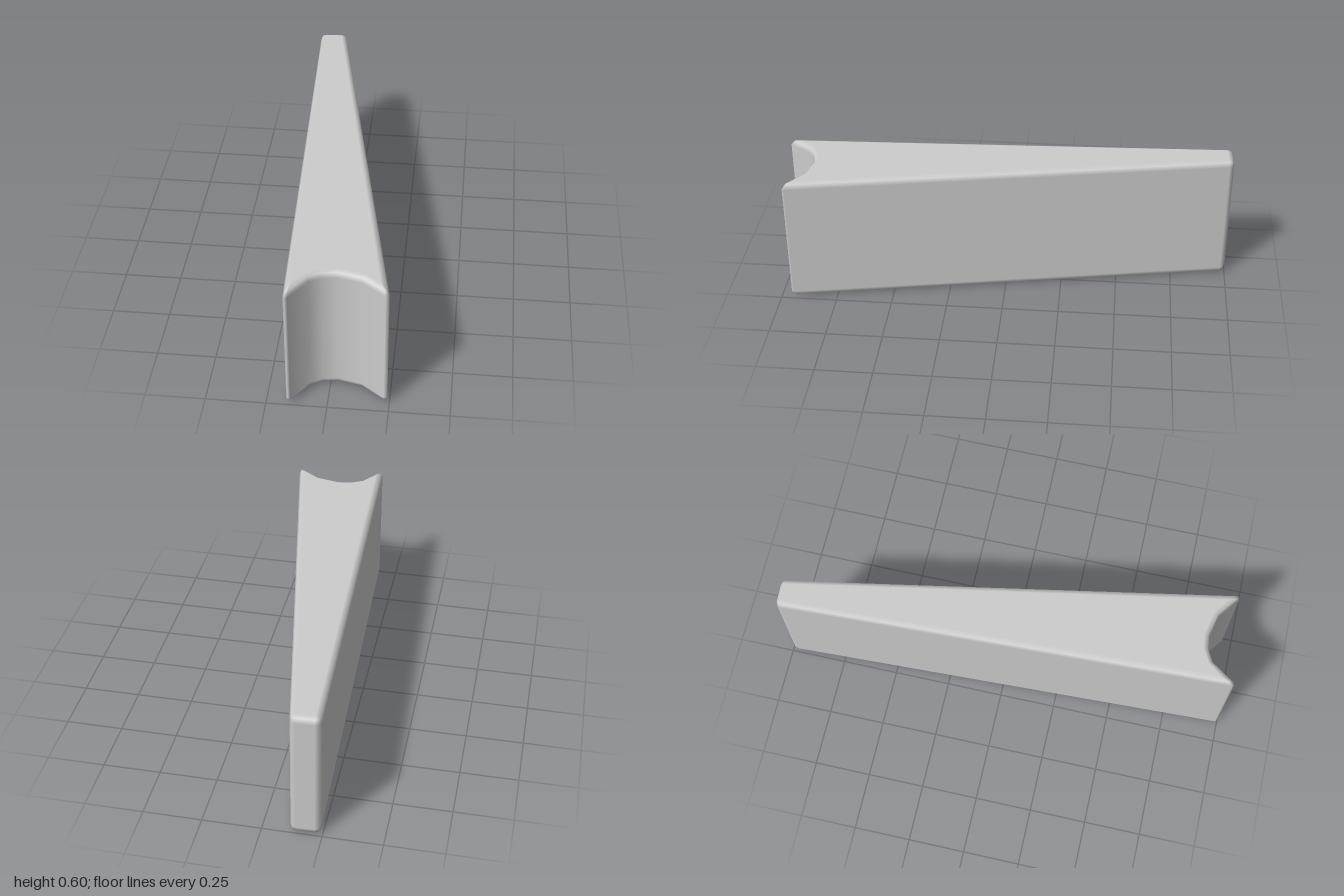
import * as THREE from 'three';

const HEIGHT = 0.595, BEVEL_Y = 0.03, BEVEL = 0.025;

// Plan outline [x, z]. Corners carry an edge radius r and a core point that the bevel shrinks to.
const plan = [
  { p: [-0.218, -0.972], r: 0.025, core: [-0.218, -0.972] }, // narrow end
  { p: [-0.141, -0.975], r: 0.025, core: [-0.141, -0.975] },
  { p: [0.232, 0.945], r: 0.01, core: [0.205, 0.905] },      // front tip
  { p: [0.13, 0.88] },                                      // concave hollow
  { p: [0.03, 0.857] },
  { p: [-0.03, 0.865] },
  { p: [-0.08, 0.892] },
  { p: [-0.157, 0.988], r: 0.01, core: [-0.14, 0.93] },      // front tip
];

// Outward normal angle of the edge from a to b
const edgeAngle = (a, b) => Math.atan2(-(b.p[0] - a.p[0]), b.p[1] - a.p[1]);

// Expand the plan into a loop of { outer, core, normal }
function makeLoop() {
  const loop = [], cores = [];
  plan.forEach((pt, i) => {
    const n = plan.length;
    const a0 = edgeAngle(plan[(i + n - 1) % n], pt);
    const a1 = edgeAngle(pt, plan[(i + 1) % n]);
    const turn = Math.atan2(Math.sin(a1 - a0), Math.cos(a1 - a0));
    const steps = pt.core ? [0, 0.5, 1] : [0.5];
    for (const s of steps) {
      const a = a0 + turn * s, normal = [Math.cos(a), Math.sin(a)];
      const r = pt.r || 0;
      const outer = [pt.p[0] + normal[0] * r, pt.p[1] + normal[1] * r];
      const core = pt.core || [pt.p[0] - normal[0] * BEVEL, pt.p[1] - normal[1] * BEVEL];
      loop.push({ outer, core, normal });
      if (s === steps[0]) cores.push(core);
    }
  });
  return { loop, cores };
}

function wedgeGeometry() {
  const { loop, cores } = makeLoop();
  const pos = [], nor = [], idx = [], n = loop.length;

  // Rings from the bottom bevel up to the top bevel
  const rings = [-90, -45, 0].map((t) => [t, BEVEL_Y])
    .concat([0, 45, 90].map((t) => [t, HEIGHT - BEVEL_Y]));
  rings.forEach(([deg, y0], j) => {
    const c = Math.cos(deg * Math.PI / 180), s = Math.sin(deg * Math.PI / 180);
    loop.forEach(({ outer, core, normal }, i) => {
      pos.push(core[0] + (outer[0] - core[0]) * c, y0 + BEVEL_Y * s, core[1] + (outer[1] - core[1]) * c);
      nor.push(normal[0] * c, s, normal[1] * c);
      if (j === 0) return;
      const k = (i + 1) % n, lo = (j - 1) * n, hi = j * n;
      idx.push(lo + i, hi + i, lo + k, lo + k, hi + i, hi + k);
    });
  });

  // Flat top and bottom
  const tris = THREE.ShapeUtils.triangulateShape(cores.map((c) => new THREE.Vector2(c[0], c[1])), []);
  for (const [y, up] of [[0, -1], [HEIGHT, 1]]) {
    const base = pos.length / 3;
    cores.forEach((c) => { pos.push(c[0], y, c[1]); nor.push(0, up, 0); });
    for (const [a, b, c] of tris) {
      const [A, B, C] = [cores[a], cores[b], cores[c]];
      const area = (B[0] - A[0]) * (C[1] - A[1]) - (B[1] - A[1]) * (C[0] - A[0]);
      if (area * up < 0) idx.push(base + a, base + b, base + c);
      else idx.push(base + a, base + c, base + b);
    }
  }

  const g = new THREE.BufferGeometry();
  g.setAttribute('position', new THREE.Float32BufferAttribute(pos, 3));
  g.setAttribute('normal', new THREE.Float32BufferAttribute(nor, 3));
  g.setIndex(idx);
  return g;
}

export function createModel() {
  const grey = new THREE.MeshStandardMaterial({ color: 0xcccccc });
  grey.name = 'light grey';
  const wedge = new THREE.Mesh(wedgeGeometry(), grey);
  wedge.name = 'taperedWedge';
  const group = new THREE.Group();
  group.name = 'wedgeBlock';
  group.add(wedge);
  return group;
}
